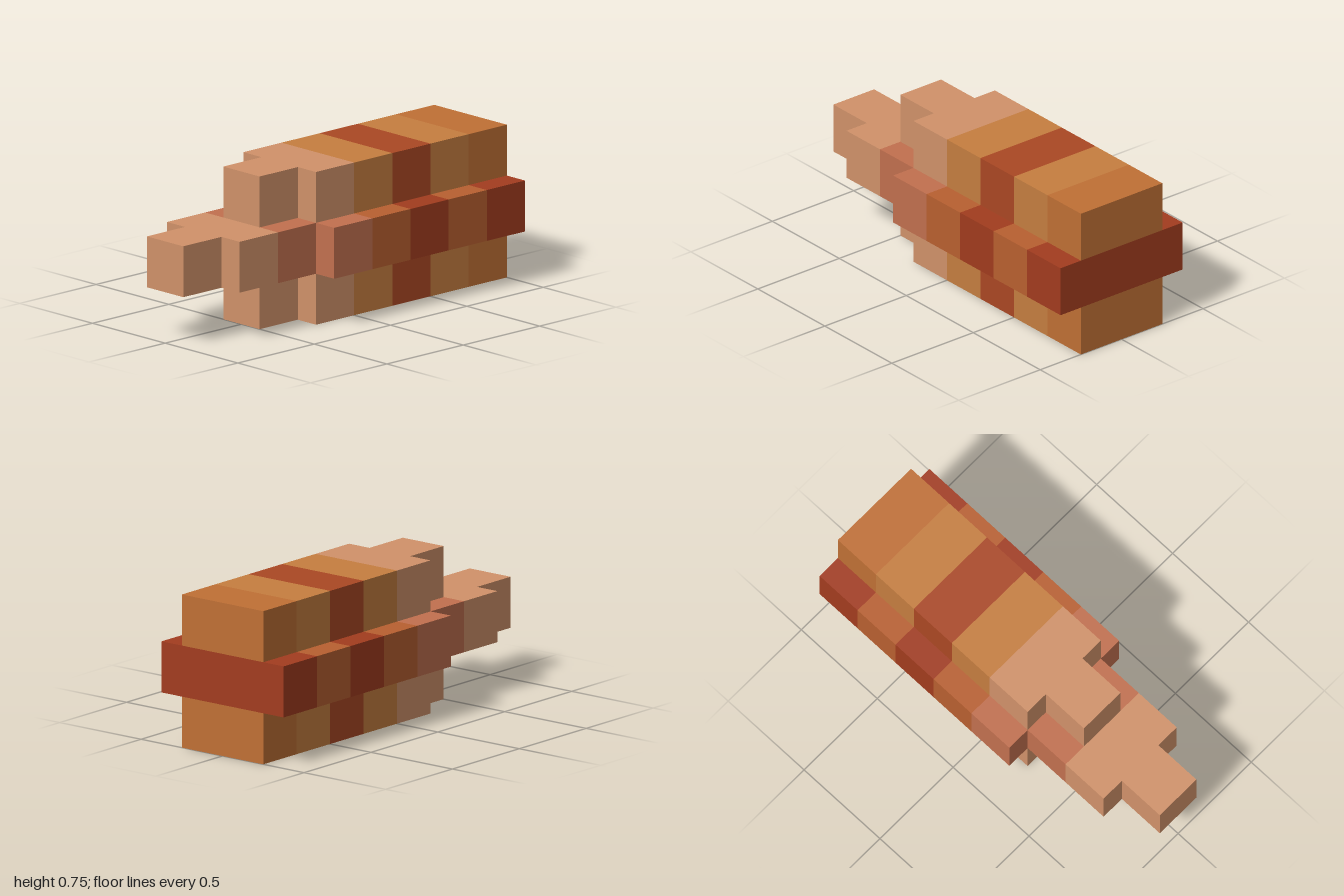
import * as THREE from 'three';
import { mergeGeometries } from 'three/addons/utils/BufferGeometryUtils.js';

const STEP = 0.25;   // length and height of one block
const DEPTH = 0.125; // depth of one block

// Half-depth in blocks for each of the eight slices, from tip (-x) to tail (+x)
const OUTER_STEPS = [0, 0, 1, 2, 2, 2, 2, 2];
const CORE_STEPS = [1, 2, 2, 3, 3, 3, 3, 3];

// Colour bands: [name, first slice, end slice, colour]
const OUTER_BANDS = [
  ['Nose', 2, 4, 0xd1926a],
  ['FrontBand', 4, 5, 0xc67e40],
  ['DarkBand', 5, 6, 0xab4824],
  ['RearBand', 6, 7, 0xc67e40],
  ['Tail', 7, 8, 0xc07035],
];
const CORE_BANDS = [
  ['Tip', 0, 2, 0xd1926a],
  ['Collar', 2, 4, 0xc2704f],
  ['FrontBand', 4, 5, 0xb96030],
  ['DarkBand', 5, 6, 0xa23c1e],
  ['RearBand', 6, 7, 0xb96030],
  ['Tail', 7, 8, 0xa33c1f],
];

// Layers from the ground up
const LAYERS = [
  { name: 'lower', steps: OUTER_STEPS, bands: OUTER_BANDS },
  { name: 'core', steps: CORE_STEPS, bands: CORE_BANDS },
  { name: 'upper', steps: OUTER_STEPS, bands: OUTER_BANDS },
];

// Block directions and the rotation that turns a +z plane to face each of them
const SIDES = [
  { d: [1, 0, 0], r: [0, Math.PI / 2] },
  { d: [-1, 0, 0], r: [0, -Math.PI / 2] },
  { d: [0, 1, 0], r: [-Math.PI / 2, 0] },
  { d: [0, -1, 0], r: [Math.PI / 2, 0] },
  { d: [0, 0, 1], r: [0, 0] },
  { d: [0, 0, -1], r: [0, Math.PI] },
];

// True if the block at slice i, layer j, depth k is solid
function solid(i, j, k) {
  const half = LAYERS[j]?.steps[i] ?? 0;
  return k >= -half && k < half;
}

// Outer faces of all blocks in one colour band
function bandGeometry(j, start, end) {
  const faces = [];
  for (let i = start; i < end; i++) {
    for (let k = -3; k < 3; k++) {
      if (!solid(i, j, k)) continue;
      for (const { d, r } of SIDES) {
        if (solid(i + d[0], j + d[1], k + d[2])) continue;
        const face = new THREE.PlaneGeometry(1, 1);
        face.rotateX(r[0]).rotateY(r[1]);
        face.translate(d[0] / 2, d[1] / 2, d[2] / 2);
        face.scale(STEP, STEP, DEPTH);
        face.translate((i + 0.5) * STEP - 1, (j + 0.5) * STEP, (k + 0.5) * DEPTH);
        // Keep the axis-aligned normal exact after scaling
        const n = face.attributes.normal;
        for (let v = 0; v < n.count; v++) n.setXYZ(v, ...d);
        faces.push(face);
      }
    }
  }
  return mergeGeometries(faces);
}

export function createModel() {
  const model = new THREE.Group();
  model.name = 'steppedBlock';
  LAYERS.forEach(({ name, bands }, j) => {
    const layer = new THREE.Group();
    layer.name = name + 'Layer';
    for (const [part, start, end, color] of bands) {
      const material = new THREE.MeshStandardMaterial({ color, flatShading: true });
      const mesh = new THREE.Mesh(bandGeometry(j, start, end), material);
      mesh.name = name + part;
      layer.add(mesh);
    }
    model.add(layer);
  });
  return model;
}
